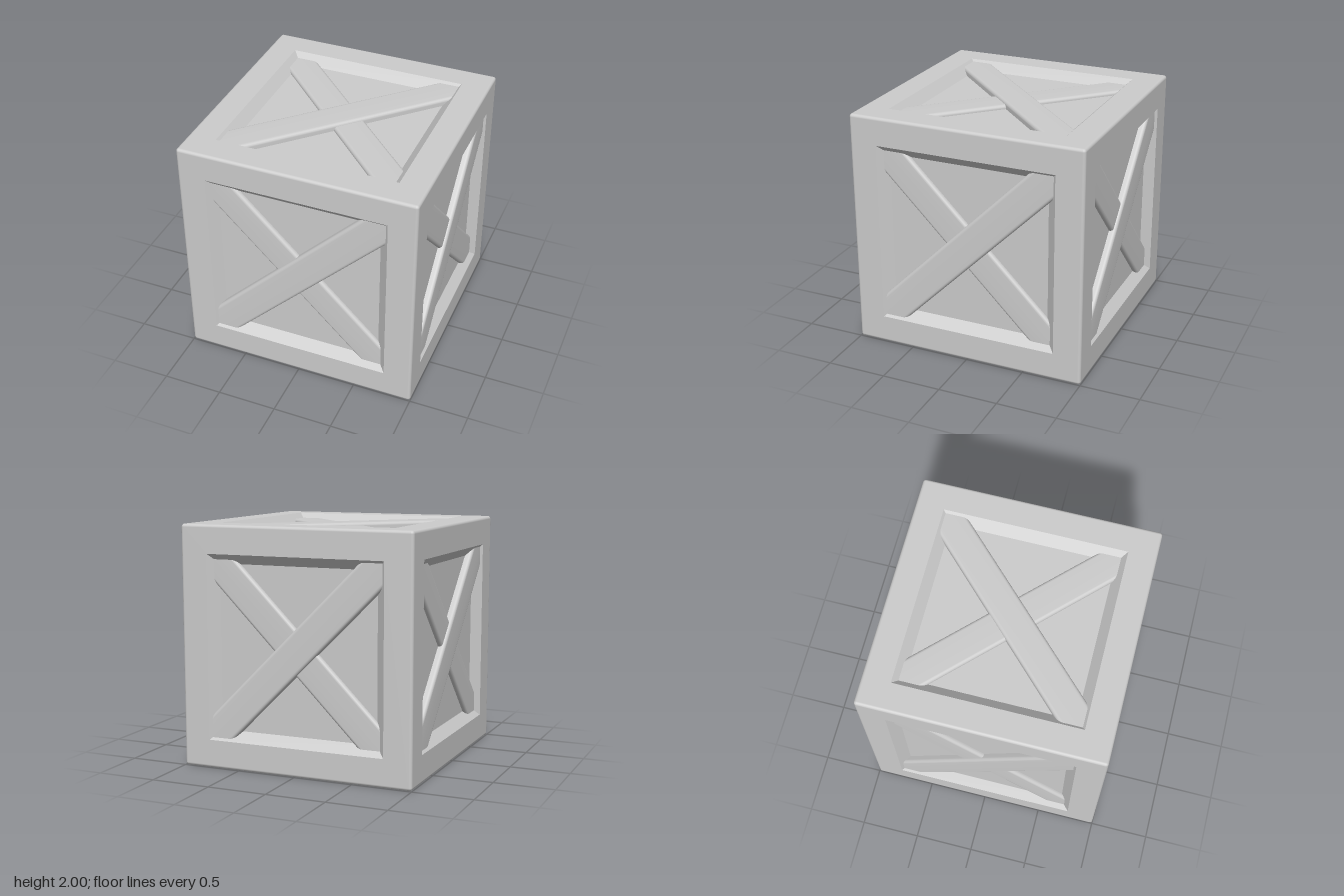
import * as THREE from 'three';
import { toCreasedNormals } from 'three/addons/utils/BufferGeometryUtils.js';

const R = 0.025;       // rounding of the outer edges
const OPEN = 0.765;    // half width of a face opening at the surface
const FLOOR = 0.685;   // half width of the recessed panel
const DEPTH = 0.077;   // recess depth
const material = new THREE.MeshStandardMaterial({ color: 0xcccccc });

function add(parent, name, geometry) {
  const mesh = new THREE.Mesh(geometry, material);
  mesh.name = name;
  parent.add(mesh);
  return mesh;
}

// Flat square border around an opening
function borderGeometry() {
  const square = (h) => [[-h, -h], [h, -h], [h, h], [-h, h]].map(([x, y]) => new THREE.Vector2(x, y));
  const shape = new THREE.Shape(square(1 - R));
  shape.holes.push(new THREE.Path(square(OPEN).reverse()));
  return new THREE.ShapeGeometry(shape).translate(0, 0, 1);
}

// Four sloping walls of the recess, facing inwards
function wallGeometry() {
  const g = new THREE.CylinderGeometry(OPEN * Math.SQRT2, FLOOR * Math.SQRT2, DEPTH, 4, 1, true)
    .rotateY(Math.PI / 4).rotateX(Math.PI / 2).toNonIndexed();
  const p = g.attributes.position;
  g.scale(-1, 1, 1);
  // Mirrored triangles are turned over by swapping two corners only if they face outwards
  const a = new THREE.Vector3(), b = new THREE.Vector3(), c = new THREE.Vector3();
  for (let i = 0; i < p.count; i += 3) {
    a.fromBufferAttribute(p, i); b.fromBufferAttribute(p, i + 1); c.fromBufferAttribute(p, i + 2);
    const n = b.clone().sub(a).cross(c.clone().sub(a));
    if (n.x * (a.x + b.x + c.x) + n.y * (a.y + b.y + c.y) > 0) {
      p.setXYZ(i + 1, c.x, c.y, c.z);
      p.setXYZ(i + 2, b.x, b.y, b.z);
    }
  }
  g.computeVertexNormals();
  return g.translate(0, 0, 1 - DEPTH / 2);
}

// Diagonal plank with rounded long edges, mitred to meet the sloping walls
function plankGeometry(height, angle) {
  const half = 0.135, r = 0.028;
  const s = new THREE.Shape();
  s.moveTo(-half, -0.005);
  s.lineTo(half, -0.005);
  s.lineTo(half, height - r);
  s.absarc(half - r, height - r, r, 0, Math.PI / 2, false);
  s.lineTo(0, height);
  s.lineTo(-half + r, height);
  s.absarc(-half + r, height - r, r, Math.PI / 2, Math.PI, false);
  s.lineTo(-half, -0.005);
  const g = new THREE.ExtrudeGeometry(s, { depth: 1, bevelEnabled: false, curveSegments: 6 });
  const p = g.attributes.position;
  for (let i = 0; i < p.count; i++) {
    const wall = FLOOR + 0.004 + p.getY(i) * (OPEN - FLOOR) / DEPTH;
    const end = Math.SQRT2 * wall - Math.abs(p.getX(i));
    p.setZ(i, p.getZ(i) > 0.5 ? end : -end);
  }
  return toCreasedNormals(g, 0.6)
    .rotateX(Math.PI / 2).rotateZ(angle).translate(0, 0, 1 - DEPTH);
}

export function createModel() {
  const crate = new THREE.Group();
  crate.name = 'crate';
  const body = new THREE.Group();
  body.name = 'crateBody';
  body.position.y = 1;
  crate.add(body);

  // Six identical faces
  const border = borderGeometry();
  const walls = wallGeometry();
  const panel = new THREE.PlaneGeometry(2 * FLOOR, 2 * FLOOR).translate(0, 0, 1 - DEPTH);
  const lower = plankGeometry(0.034, Math.PI / 4);
  const upper = plankGeometry(0.058, -Math.PI / 4);
  const q = Math.PI / 2;
  const faces = {
    front: [0, 0], left: [0, q], back: [0, 2 * q], right: [0, -q], top: [-q, 0], bottom: [q, 0],
  };
  for (const [name, [rx, ry]] of Object.entries(faces)) {
    const face = new THREE.Group();
    face.name = name + 'Face';
    face.rotation.set(rx, ry, 0);
    add(face, 'frameBorder', border);
    add(face, 'recessWalls', walls);
    add(face, 'panel', panel);
    add(face, 'lowerPlank', lower);
    add(face, 'upperPlank', upper);
    body.add(face);
  }

  // Rounded edges: four around each axis
  const c = 1 - R;
  const edge = new THREE.CylinderGeometry(R, R, 2 * c, 6, 1, true, 0, q).translate(c, 0, c);
  for (const [rx, rz] of [[0, 0], [q, 0], [0, q]]) {
    const ring = new THREE.Group();
    ring.name = 'frameEdges';
    ring.rotation.set(rx, 0, rz);
    for (let i = 0; i < 4; i++) add(ring, 'roundedEdge', edge).rotation.y = i * q;
    body.add(ring);
  }

  // Rounded corners: an eighth of a sphere, four on top and four below
  const corner = new THREE.SphereGeometry(R, 6, 6, q, q, 0, q).translate(c, c, c);
  for (const flip of [0, Math.PI]) {
    const set = new THREE.Group();
    set.name = 'frameCorners';
    set.rotation.x = flip;
    for (let i = 0; i < 4; i++) add(set, 'roundedCorner', corner).rotation.y = i * q;
    body.add(set);
  }
  return crate;
}
